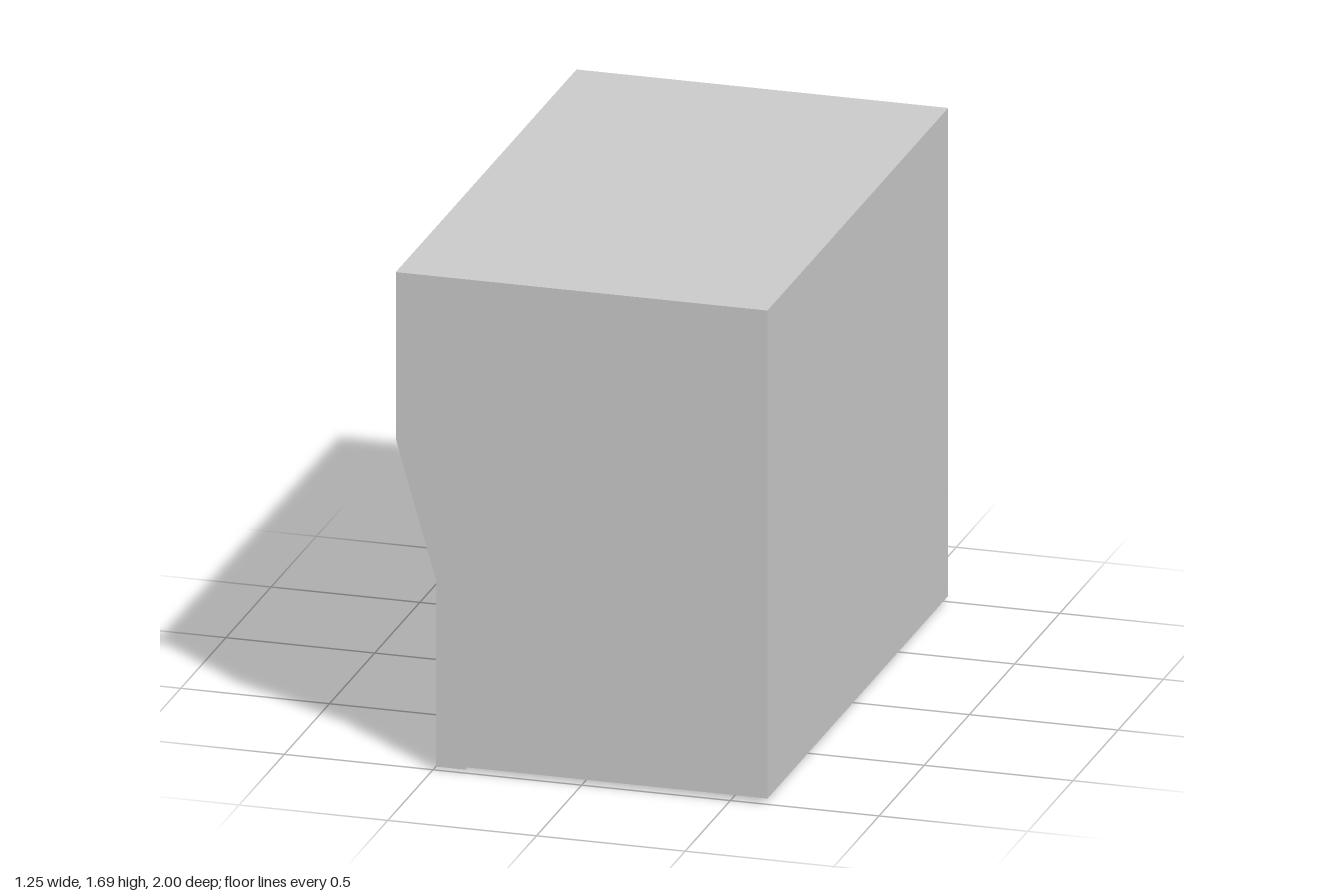
import * as THREE from 'three';

const material = new THREE.MeshStandardMaterial({ color: 0xcccccc, flatShading: true });

export function createModel() {
  const model = new THREE.Group();

  const add = (name, geometry, parent = model) => {
    const mesh = new THREE.Mesh(geometry, material);
    mesh.name = name;
    parent.add(mesh);
    return mesh;
  };

  // Box given by its limits on each axis
  const slab = (name, [x0, x1], [y0, y1], [z0, z1], parent) =>
    add(name, new THREE.BoxGeometry(x1 - x0, y1 - y0, z1 - z0), parent)
      .position.set((x0 + x1) / 2, (y0 + y1) / 2, (z0 + z1) / 2);

  // x-y outline extruded from z0 to z1
  const panel = (name, points, z0, z1, parent) => {
    const shape = new THREE.Shape(points.map(([x, y]) => new THREE.Vector2(x, y)));
    const geometry = new THREE.ExtrudeGeometry(shape, { depth: z1 - z0, bevelEnabled: false });
    return add(name, geometry.translate(0, 0, z0), parent);
  };

  // Outer silhouette shared by both end walls: wide above, stepped in below
  const silhouette = [[0.625, 0.02], [0.625, 1.69], [-0.625, 1.69], [-0.625, 1.12], [-0.49, 0.65]];

  // Closed front wall with a small foot at its open-side corner
  panel('frontWall', [...silhouette, [-0.49, 0.012], [-0.39, 0.012], [-0.39, 0.02]], 0.9, 1);

  // Back wall stops above the ground storey and stands on two posts
  panel('backWall', [
    ...silhouette, [-0.49, 0], [-0.39, 0], [-0.39, 0.58],
    [-0.33, 0.65], [0.55, 0.65], [0.55, 0.02],
  ], -1, -0.9);

  // Closed long side, roof and the two floors
  slab('sideWall', [0.55, 0.625], [0.02, 1.69], [-0.9, 0.9]);
  slab('roof', [-0.625, 0.55], [1.595, 1.69], [-0.9, 0.9]);
  slab('upperFloor', [-0.625, 0.55], [1.12, 1.18], [-0.9, 0.9]);
  slab('lowerFloor', [-0.49, 0.55], [0.57, 0.645], [-0.9, 0.9]);

  // Winding stair under the lower floor
  const stair = new THREE.Group();
  stair.name = 'spiralStair';
  stair.position.set(0.03, 0, 0.75);
  const steps = 18;
  const rise = 0.55 / steps;
  for (let i = 0; i < steps; i++) {
    const tread = new THREE.Group();
    tread.name = 'tread';
    tread.rotation.y = ((i + 0.5) / steps) * Math.PI;
    const y = 0.02 + i * rise;
    slab('treadBoard', [0.08, 0.2], [y, y + rise], [-0.016, 0.016], tread);
    stair.add(tread);
  }
  model.add(stair);

  return model;
}
